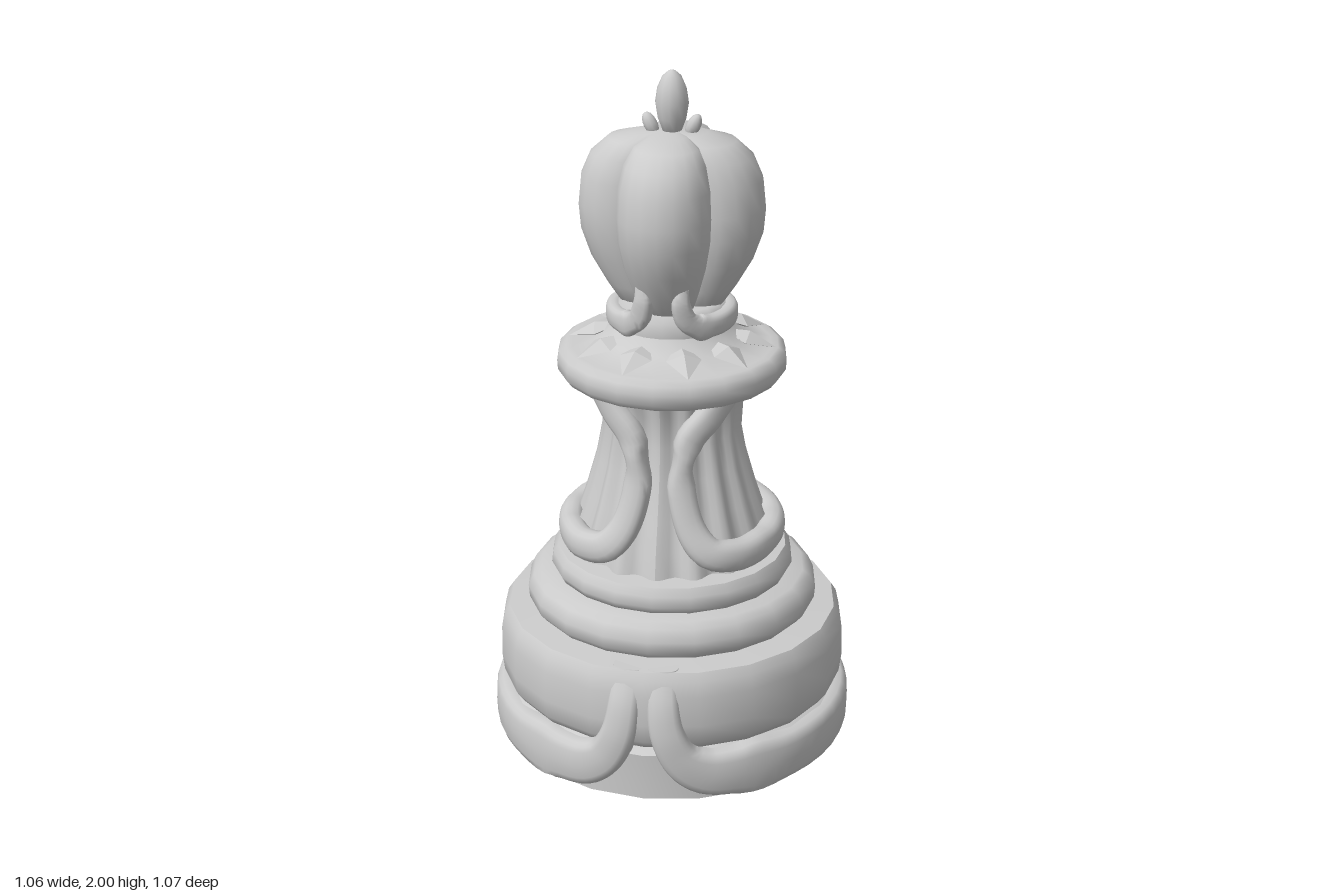
import * as THREE from 'three';
import { toCreasedNormals } from 'three/addons/utils/BufferGeometryUtils.js';

const material = new THREE.MeshStandardMaterial({ color: 0xcccccc });

function add(parent, name, geometry) {
  const mesh = new THREE.Mesh(geometry, material);
  mesh.name = name;
  parent.add(mesh);
  return mesh;
}

const lathe = (pts, segments = 20) =>
  new THREE.LatheGeometry(pts.map(([r, y]) => new THREE.Vector2(r, y)), segments);

// Turned part whose sharp profile corners stay crisp
const turned = (pts) => toCreasedNormals(lathe(pts), 0.8);

// Rounded strap hugging the body. Each station: [angle from front, y, radius, half width, half thickness].
// Stations run from the front to the +x side and are mirrored to the back.
function strap(stations, roundness) {
  const all = stations.concat(
    stations.slice(0, -1).reverse().map(([a, ...rest]) => [Math.PI - a, ...rest]));
  const path = new THREE.CatmullRomCurve3(all.map((s) => new THREE.Vector3(s[0], s[1], s[2])));
  const size = new THREE.CatmullRomCurve3(all.map((s) => new THREE.Vector3(s[3], s[4], 0)));
  const at = (u) => {
    const p = path.getPoint(u);
    return new THREE.Vector3(Math.sin(p.x) * p.z, p.y, Math.cos(p.x) * p.z);
  };
  const steps = 72, sides = 16, position = [], index = [];
  const power = (v) => Math.sign(v) * Math.abs(v) ** roundness;
  for (let i = -1; i <= steps + 1; i++) {
    const u = THREE.MathUtils.clamp(i / steps, 0, 1);
    const scale = i < 0 || i > steps ? 0 : 1; // collapsed rings close the ends
    const c = at(u), s = size.getPoint(u);
    const tangent = at(Math.min(1, u + 0.004)).sub(at(Math.max(0, u - 0.004)));
    const out = new THREE.Vector3(c.x, 0, c.z).normalize();
    const across = tangent.cross(out).normalize();
    for (let k = 0; k < sides; k++) {
      const t = (k / sides) * Math.PI * 2;
      const v = c.clone()
        .addScaledVector(out, scale * s.y * power(Math.cos(t)))
        .addScaledVector(across, scale * s.x * power(Math.sin(t)));
      position.push(v.x, Math.max(0, v.y), v.z);
      if (i <= steps) {
        const a = (i + 1) * sides + k, b = (i + 1) * sides + ((k + 1) % sides);
        index.push(a, b, a + sides, b, b + sides, a + sides);
      }
    }
  }
  const geo = new THREE.BufferGeometry();
  geo.setAttribute('position', new THREE.Float32BufferAttribute(position, 3));
  geo.setIndex(index);
  return toCreasedNormals(geo, 0.9);
}

function addStrapPair(parent, name, stations, roundness) {
  const geo = strap(stations, roundness);
  add(parent, name + 'Left', geo);
  add(parent, name + 'Right', geo).rotation.y = Math.PI;
}

export function createModel() {
  const model = new THREE.Group();
  model.name = 'chessPiece';
  const half = Math.PI / 2;

  // Stepped base
  add(model, 'baseCore', turned([[0, 0], [0.505, 0], [0.505, 0.14], [0.46, 0.17], [0, 0.17]]));
  add(model, 'baseDrum', turned([
    [0.44, 0.15], [0.485, 0.158], [0.505, 0.185], [0.512, 0.24], [0.51, 0.33], [0.5, 0.375], [0.485, 0.398], [0.38, 0.405]]));
  add(model, 'middleRing', turned([
    [0.38, 0.395], [0.405, 0.402], [0.425, 0.425], [0.428, 0.46], [0.412, 0.495], [0.39, 0.51], [0.3, 0.515]]));
  add(model, 'upperRing', turned([
    [0.32, 0.505], [0.345, 0.513], [0.357, 0.535], [0.352, 0.565], [0.337, 0.588], [0.25, 0.595]]));

  // Straps circling the foot and rising at front and back
  addStrapPair(model, 'baseStrap', [
    [0.108, 0.4, 0.437, 0.045, 0.042], [0.112, 0.31, 0.475, 0.046, 0.045],
    [0.135, 0.22, 0.488, 0.05, 0.048], [0.21, 0.135, 0.488, 0.056, 0.048],
    [0.34, 0.088, 0.485, 0.068, 0.048], [0.55, 0.076, 0.483, 0.075, 0.048],
    [0.9, 0.075, 0.483, 0.075, 0.048], [half, 0.075, 0.483, 0.075, 0.048]], 0.55);

  // Fluted waist
  const waist = lathe([[0.29, 0.58], [0.272, 0.66], [0.243, 0.75], [0.213, 0.86],
    [0.195, 0.96], [0.2, 1.05], [0.225, 1.13]], 96);
  const wp = waist.attributes.position;
  for (let i = 0; i < wp.count; i++) {
    const k = 1 + 0.04 * Math.cos(16 * Math.atan2(wp.getX(i), wp.getZ(i)));
    wp.setX(i, wp.getX(i) * k);
    wp.setZ(i, wp.getZ(i) * k);
  }
  waist.computeVertexNormals();
  add(model, 'flutedWaist', waist);

  // Curved frames around the side panels of the waist
  addStrapPair(model, 'waistFrame', [
    [0.86, 1.125, 0.235, 0.045, 0.03], [0.66, 1.06, 0.222, 0.043, 0.032],
    [0.36, 0.97, 0.213, 0.04, 0.034], [0.28, 0.87, 0.222, 0.04, 0.034],
    [0.34, 0.76, 0.248, 0.042, 0.034], [0.5, 0.675, 0.28, 0.046, 0.036],
    [0.8, 0.645, 0.295, 0.046, 0.038], [1.2, 0.643, 0.295, 0.045, 0.038],
    [half, 0.643, 0.295, 0.045, 0.038]], 0.8);

  // Collar disc
  add(model, 'collar', turned([
    [0.15, 1.115], [0.28, 1.115], [0.312, 1.122], [0.328, 1.142], [0.33, 1.17],
    [0.324, 1.195], [0.305, 1.208], [0.285, 1.206], [0.2, 1.235], [0.165, 1.28]]));

  // Ten pointed petals on the collar
  const petals = new THREE.Group();
  petals.name = 'collarPetals';
  model.add(petals);
  const petalShape = new THREE.OctahedronGeometry(1)
    .scale(0.085, 0.022, 0.05).rotateZ(-0.3).translate(0.218, 1.233, 0);
  for (let i = 0; i < 10; i++) add(petals, 'petal', petalShape).rotation.y = (i * Math.PI) / 5;

  // Neck and straps holding the bud
  add(model, 'neck', lathe([[0.16, 1.24], [0.168, 1.27], [0.168, 1.32], [0.14, 1.345], [0, 1.35]]));
  addStrapPair(model, 'neckStrap', [
    [0.33, 1.43, 0.172, 0.018, 0.02], [0.3, 1.39, 0.176, 0.026, 0.023],
    [0.36, 1.345, 0.172, 0.03, 0.024], [0.58, 1.31, 0.166, 0.032, 0.024],
    [0.9, 1.303, 0.164, 0.032, 0.024], [half, 1.303, 0.164, 0.032, 0.024]], 0.7);

  // Four-lobed bud: each lobe touches the axis along its inner seam
  const lobe = lathe([[0, 1.31], [0.07, 1.325], [0.092, 1.39], [0.115, 1.47], [0.129, 1.55],
    [0.132, 1.62], [0.128, 1.7], [0.114, 1.765], [0.09, 1.808], [0.05, 1.828], [0, 1.832]], 18);
  const lp = lobe.attributes.position;
  const profile = lobe.parameters.points;
  for (let i = 0; i < lp.count; i++) lp.setZ(i, lp.getZ(i) - profile[i % profile.length].x);
  lobe.computeVertexNormals();
  const bud = new THREE.Group();
  bud.name = 'bud';
  model.add(bud);
  for (let i = 0; i < 4; i++) add(bud, 'lobe', lobe).rotation.y = i * half;

  // Finial with a small leaf on each side
  add(model, 'finial', lathe([[0, 1.81], [0.025, 1.825], [0.04, 1.865], [0.047, 1.91],
    [0.041, 1.95], [0.027, 1.982], [0.01, 1.997], [0, 2]], 12));
  for (const side of [-1, 1]) {
    const leaf = add(model, side > 0 ? 'finialLeafLeft' : 'finialLeafRight',
      new THREE.SphereGeometry(1, 10, 8).scale(0.02, 0.036, 0.021));
    leaf.position.set(side * 0.06, 1.845, 0);
    leaf.rotation.z = -side * 0.45;
  }
  return model;
}
